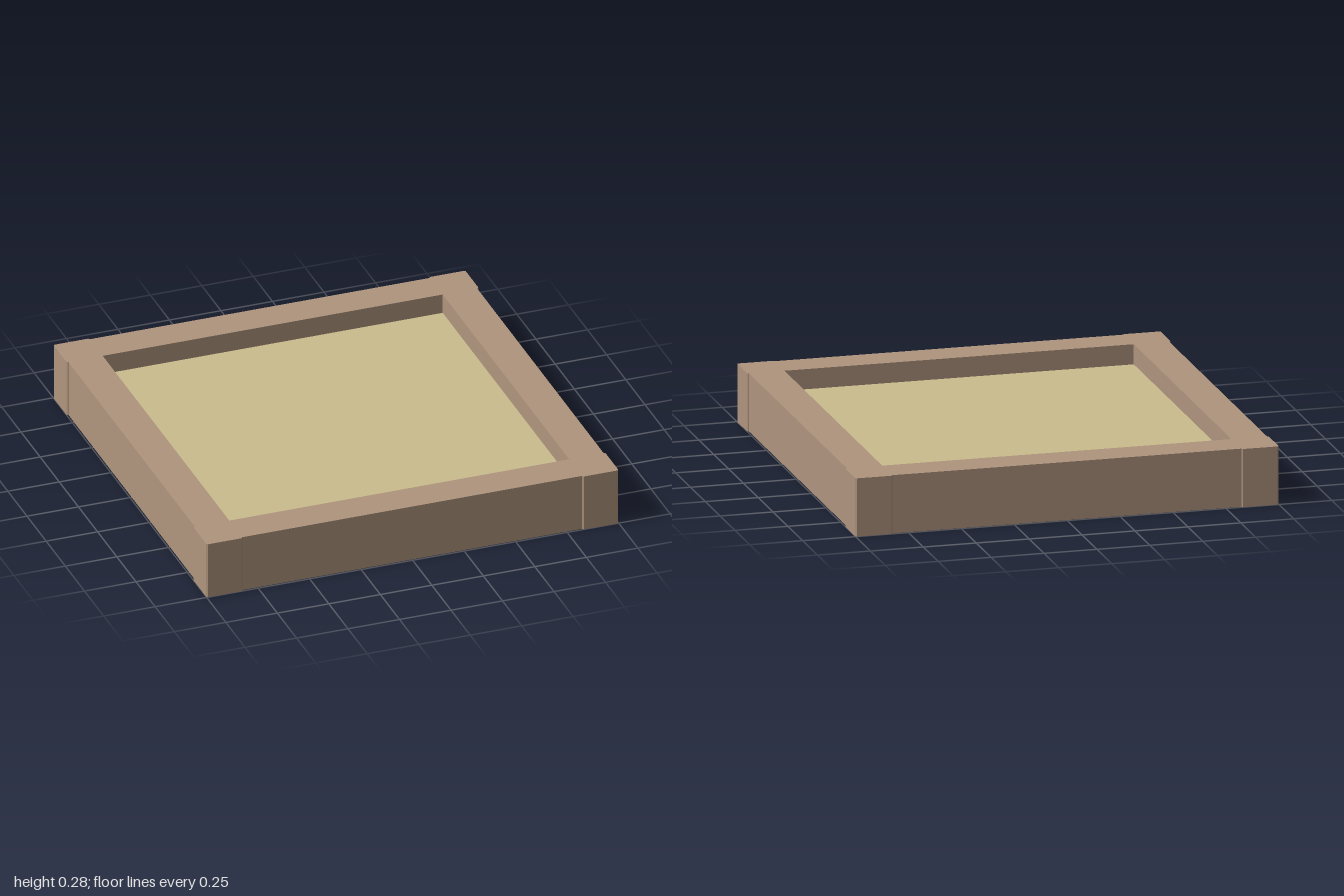
import * as THREE from 'three';

const HEIGHT = 0.275;
const INNER = 0.825; // half width of the opening
const RAIL = 0.992; // outer face of the rails
const POST = 1.0; // outer face of the corner posts
const BEVEL = 0.006;

export function createModel() {
  const model = new THREE.Group();
  model.name = 'sandbox';

  const wood = new THREE.MeshStandardMaterial({ color: 0xb0957e });
  wood.name = 'wood';
  const sandColor = new THREE.MeshStandardMaterial({ color: 0xcabd8d });
  sandColor.name = 'sand';

  // Corner post: square block with its three exposed edges chamfered
  const b = BEVEL;
  const outline = new THREE.Shape([
    [INNER, INNER], [POST - b, INNER], [POST, INNER + b], [POST, POST - b],
    [POST - b, POST], [INNER + b, POST], [INNER, POST - b],
  ].map(([x, y]) => new THREE.Vector2(x, y)));
  const postGeometry = new THREE.ExtrudeGeometry(outline, { depth: HEIGHT, bevelEnabled: false });
  postGeometry.rotateX(-Math.PI / 2);

  // Rail: plain board spanning two posts
  const railGeometry = new THREE.BoxGeometry(INNER * 2, HEIGHT, RAIL - INNER);
  railGeometry.translate(0, HEIGHT / 2, (RAIL + INNER) / 2);

  const railNames = ['frontRail', 'leftRail', 'backRail', 'rightRail'];
  const postNames = ['backLeftPost', 'backRightPost', 'frontRightPost', 'frontLeftPost'];
  for (let i = 0; i < 4; i++) {
    const rail = new THREE.Mesh(railGeometry, wood);
    rail.name = railNames[i];
    const post = new THREE.Mesh(postGeometry, wood);
    post.name = postNames[i];
    rail.rotation.y = post.rotation.y = (i * Math.PI) / 2;
    model.add(rail, post);
  }

  // Sand filling the frame to about two thirds of its height
  const sandHeight = 0.18;
  const sand = new THREE.Mesh(new THREE.BoxGeometry(INNER * 2, sandHeight, INNER * 2), sandColor);
  sand.name = 'sand';
  sand.position.y = sandHeight / 2;
  model.add(sand);

  return model;
}
